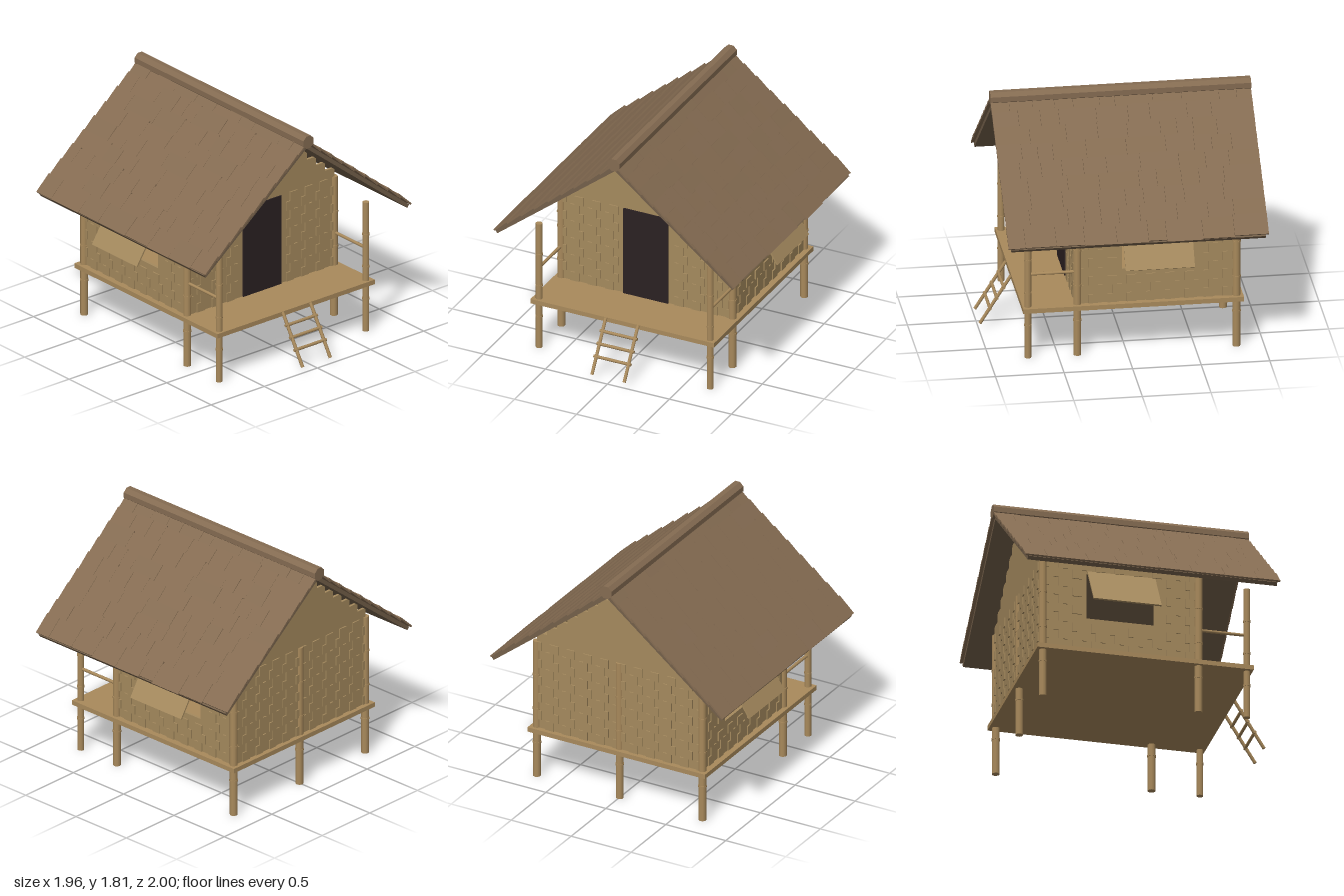
import * as THREE from 'three';
import { mergeGeometries } from 'three/addons/utils/BufferGeometryUtils.js';

const mat = (name, color, extra = {}) => {
  const m = new THREE.MeshStandardMaterial({ color, ...extra });
  m.name = name;
  return m;
};

// Small seeded generator for the uneven shingles
function seeded(seed) {
  let s = seed;
  return () => (s = (s * 16807) % 2147483647) / 2147483647;
}

export function createModel() {
  const model = new THREE.Group();
  model.name = 'stiltHut';
  const wall = mat('wovenWall', 0xa58a5e);
  const bamboo = mat('bamboo', 0xa98a5c);
  const shingle = mat('roofShingle', 0x856c52, { flatShading: true });
  const under = mat('roofUnderside', 0x74604a);
  const dark = mat('doorDark', 0x2b2122);

  const add = (parent, name, geo, material, x = 0, y = 0, z = 0) => {
    const m = new THREE.Mesh(geo, material);
    m.name = name;
    m.position.set(x, y, z);
    parent.add(m);
    return m;
  };

  // Straight pole between two points
  const pole = (name, a, b, r) => {
    const from = new THREE.Vector3(...a), to = new THREE.Vector3(...b);
    const dir = to.clone().sub(from);
    const m = add(model, name, new THREE.CylinderGeometry(r, r, dir.length(), 8), bamboo);
    m.position.copy(from).add(to).multiplyScalar(0.5);
    m.quaternion.setFromUnitVectors(new THREE.Vector3(0, 1, 0), dir.normalize());
  };

  // Bamboo posts with three raised nodes
  const post = (name, x, z, h, r) => {
    const parts = [new THREE.CylinderGeometry(r, r, h, 10).translate(0, h / 2, 0)];
    for (let i = 1; i < 4; i++)
      parts.push(new THREE.CylinderGeometry(r * 1.12, r * 1.12, 0.014, 10).translate(0, (h * i) / 4, 0));
    add(model, name, mergeGeometries(parts), bamboo, x, 0, z);
  };
  for (const s of [1, -1]) {
    post('porchPost', s * 0.69, 0.72, 1.02, 0.025);
    post('frontWallPost', s * 0.69, 0.36, 1.1, 0.029);
    post('backWallPost', s * 0.69, -0.8, 1.1, 0.029);
    pole('porchRail', [s * 0.69, 0.655, 0.72], [s * 0.69, 0.655, 0.36], 0.012);
  }
  post('backMiddlePost', 0, -0.8, 1.1, 0.029);

  // Deck
  add(model, 'deck', new THREE.BoxGeometry(1.48, 0.035, 1.61), bamboo, 0, 0.3825, -0.045);

  // Alternating raised weave strips on a wall facing +z; skip(x0, x1, y0, y1) leaves openings
  const weave = (halfWidth, skip) => {
    const parts = [], cell = 0.07;
    for (let r = 0; r < 10; r++) {
      const y0 = 0.4 + r * cell;
      for (let x = -halfWidth - cell + (r % 2) * cell * 0.5; x < halfWidth; x += cell * 2) {
        const x0 = Math.max(x, -halfWidth), x1 = Math.min(x + cell, halfWidth);
        if (x1 - x0 < 0.005 || skip(x0, x1, y0, y0 + cell)) continue;
        parts.push(new THREE.BoxGeometry(x1 - x0, cell, 0.009).translate((x0 + x1) / 2, y0 + cell / 2, 0.0145));
      }
    }
    return mergeGeometries(parts);
  };
  const extrude = (shape, depth) =>
    new THREE.ExtrudeGeometry(shape, { depth, bevelEnabled: false }).translate(0, 0, -depth / 2);

  // Gable walls, stepped under the roof slope
  const right = [[0.69, 0.4], [0.69, 1.1]];
  for (let k = 0; k < 8; k++) {
    const half = 0.685 - 0.085 * k;
    right.push([half, 1.1 + 0.069 * k], [half, 1.1 + 0.069 * (k + 1)]);
  }
  const outline = [...right, ...right.map(([x, y]) => [-x, y]).reverse()];
  const gable = new THREE.Shape(outline.map(([x, y]) => new THREE.Vector2(x, y)));
  const doorSkip = (x0, x1) => x1 > -0.18 && x0 < 0.18;
  for (const front of [true, false]) {
    const g = new THREE.Group();
    g.name = front ? 'frontWall' : 'backWall';
    g.position.z = front ? 0.36 : -0.8;
    g.rotation.y = front ? 0 : Math.PI;
    add(g, 'gablePanel', extrude(gable, 0.02), wall);
    add(g, 'gableWeave', weave(0.68, front ? doorSkip : () => false), wall);
    model.add(g);
  }
  add(model, 'doorway', new THREE.BoxGeometry(0.36, 0.7, 0.009), dark, 0, 0.75, 0.378);

  // Side walls with a window and a propped shutter
  for (const s of [1, -1]) {
    const g = new THREE.Group();
    g.name = s > 0 ? 'leftWall' : 'rightWall';
    g.position.set(s * 0.68, 0, -0.22);
    g.rotation.y = (s * Math.PI) / 2;
    const panel = new THREE.Shape();
    panel.moveTo(-0.58, 0.4).lineTo(0.58, 0.4).lineTo(0.58, 1.11).lineTo(-0.58, 1.11).closePath();
    const w0 = -0.255, w1 = 0.25;
    const hole = new THREE.Path();
    hole.moveTo(w0, 0.655).lineTo(w0, 1.01).lineTo(w1, 1.01).lineTo(w1, 0.655).closePath();
    panel.holes.push(hole);
    add(g, 'sidePanel', extrude(panel, 0.02), wall);
    add(g, 'sideWeave', weave(0.57, (x0, x1, y0, y1) => x1 > w0 && x0 < w1 && y1 > 0.655 && y0 < 1.01), wall);
    model.add(g);
    const shutter = add(model, 'shutter', new THREE.BoxGeometry(0.012, 0.35, 0.505), wall, s * 0.795, 0.872, -0.2175);
    shutter.rotation.z = s * Math.atan2(0.19, 0.3);
  }

  // Ladder
  for (const s of [1, -1]) pole('ladderRail', [s * 0.13, 0.4, 0.765], [s * 0.13, 0.04, 0.99], 0.013);
  for (const y of [0.155, 0.235, 0.315])
    pole('ladderRung', [-0.15, y, 0.765 + (0.4 - y) * 0.625], [0.15, y, 0.765 + (0.4 - y) * 0.625], 0.012);

  // Roof: sloped board under overlapping uneven shingles
  const angle = Math.atan(0.789);
  const rows = 9, pitch = 0.1365;
  for (const s of [1, -1]) {
    const rand = seeded(s > 0 ? 421 : 977);
    const side = new THREE.Group();
    side.name = s > 0 ? 'roofLeft' : 'roofRight';
    side.position.z = -0.05;
    side.rotation.y = s > 0 ? 0 : Math.PI;
    const slope = new THREE.Group();
    slope.name = 'roofSlope';
    slope.position.y = 1.734;
    slope.rotation.z = -angle;
    side.add(slope);
    add(slope, 'roofBoard', new THREE.BoxGeometry(1.23, 0.028, 1.855), under, 0.615, -0.014, 0);

    const tiles = [];
    for (let r = 0; r < rows; r++) {
      let z = -0.95;
      while (z < 0.949) {
        let w = 0.11 + rand() * 0.2;
        if (0.95 - z - w < 0.08) w = 0.95 - z;
        const low = pitch * (r + 1) + (rand() - 0.5) * 0.02;
        const len = Math.min(0.165, low), lift = 0.012 + rand() * 0.004;
        tiles.push(new THREE.BoxGeometry(len, 0.013, w - 0.002)
          .translate(-len / 2, 0.0065, 0)
          .rotateZ(Math.atan2(lift, len))
          .rotateZ(-2 * Math.atan2(lift, len))
          .translate(low, 0, z + w / 2)
          .translate(0, 0, 0));
        // Keep the upper end on the board and the lower end raised
        tiles[tiles.length - 1].rotateX(0);
        z += w;
      }
    }
    const shingles = add(slope, 'shingles', mergeGeometries(tiles), shingle);
    shingles.position.y = 0.002;
    model.add(side);
  }

  // Ridge log
  const ridge = new THREE.CylinderGeometry(0.052, 0.052, 1.9, 8).rotateY(Math.PI / 8).rotateX(Math.PI / 2);
  add(model, 'ridgeLog', ridge, shingle, 0, 1.757, -0.05);

  return model;
}
